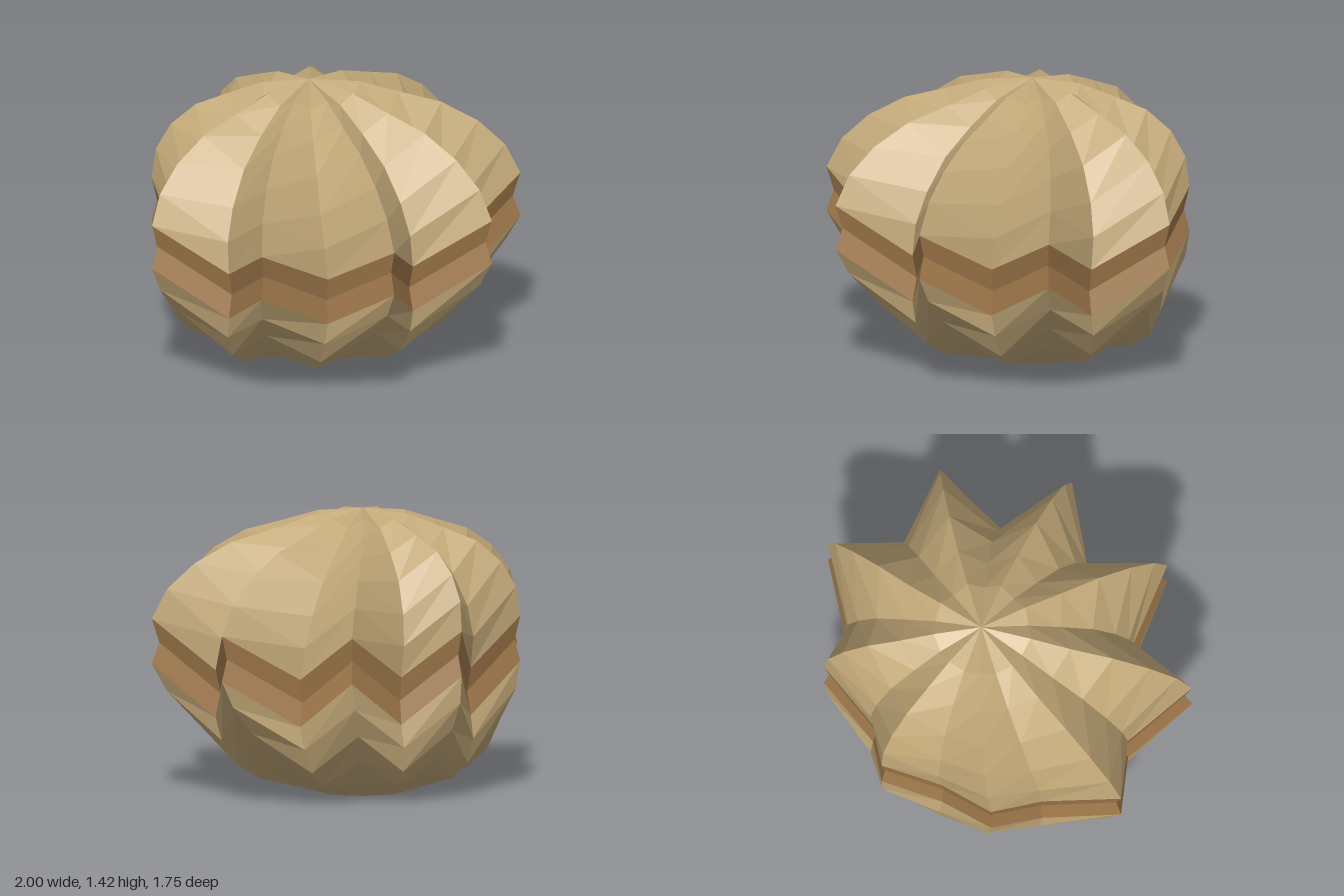
import * as THREE from 'three';

// Half of the star-shaped rim, front to back: valleys and lobe tips alternate (x, z)
const HALF = [
  [0, 0.645], [0.325, 0.875], [0.435, 0.495], [0.86, 0.48], [0.76, 0.115],
  [1, -0.195], [0.665, -0.41], [0.57, -0.69], [0.235, -0.69], [0, -0.88],
];
const CENTRE_Z = -0.145;
const N = 18;
const CORE = 0.83; // radius of the circle the lobes melt into near the poles

const RIM = [];
for (let j = 0; j < N; j++) {
  const [x, z] = HALF[j <= 9 ? j : N - j];
  RIM.push([j <= 9 ? x : -x, z - CENTRE_Z]);
}

// One ring: scaled rim, blended toward a circle, zigzagging between tip and valley heights
function ring(scale, blend, tipY, valleyY) {
  return RIM.map(([x, z], j) => {
    const a = (j / N) * Math.PI * 2;
    return new THREE.Vector3(
      scale * THREE.MathUtils.lerp(x, CORE * Math.sin(a), blend),
      j % 2 ? tipY : valleyY,
      CENTRE_Z + scale * THREE.MathUtils.lerp(z, CORE * Math.cos(a), blend),
    );
  });
}

// Skin rings listed from bottom to top, every quad split along the same diagonal
function skin(name, rings, material) {
  const pos = [];
  const tri = (a, b, c) => {
    if (a.distanceTo(b) < 1e-5 || b.distanceTo(c) < 1e-5 || a.distanceTo(c) < 1e-5) return;
    for (const p of [a, b, c]) pos.push(p.x, p.y, p.z);
  };
  for (let i = 0; i < rings.length - 1; i++) {
    for (let j = 0; j < N; j++) {
      const k = (j + 1) % N;
      const a = rings[i][j], b = rings[i][k], c = rings[i + 1][k], d = rings[i + 1][j];
      tri(a, b, c);
      tri(a, c, d);
    }
  }
  const geo = new THREE.BufferGeometry();
  geo.setAttribute('position', new THREE.Float32BufferAttribute(pos, 3));
  geo.computeVertexNormals();
  const mesh = new THREE.Mesh(geo, material);
  mesh.name = name;
  return mesh;
}

export function createModel() {
  const shellTan = new THREE.MeshStandardMaterial({ color: 0xc2a878 });
  shellTan.name = 'shellTan';
  const mantleBrown = new THREE.MeshStandardMaterial({ color: 0xa27a4c });
  mantleBrown.name = 'mantleBrown';

  const group = new THREE.Group();
  group.name = 'clam';

  // Ring sizes from rim to pole, along a quarter circle
  const scales = [1, 0.966, 0.866, 0.707, 0.5, 0.29, 0];

  // Upper shell: dome with grooves running up to the apex
  const tipTop = [0.88, 1.03, 1.16, 1.265, 1.33, 1.395, 1.425];
  const valleyTop = [0.65, 0.81, 0.965, 1.125, 1.25, 1.355, 1.425];
  const upper = scales.map((s, k) => ring(s, k / 6, tipTop[k], valleyTop[k]));
  group.add(skin('upperShell', upper, shellTan));

  // Lower shell: bowl ending in a flat round base
  const tipLow = [0.65, 0.515, 0.37, 0.22, 0.1, 0, 0];
  const valleyLow = [0.41, 0.295, 0.17, 0.09, 0.05, 0, 0];
  const lower = scales.map((s, k) => ring(s, k / 6, tipLow[k], valleyLow[k])).reverse();
  group.add(skin('lowerShell', lower, shellTan));

  // Mantle: pinched band between the shells
  const mantle = [ring(1, 0, 0.65, 0.41), ring(0.965, 0, 0.76, 0.53), ring(1, 0, 0.88, 0.65)];
  group.add(skin('mantleBand', mantle, mantleBrown));

  return group;
}
